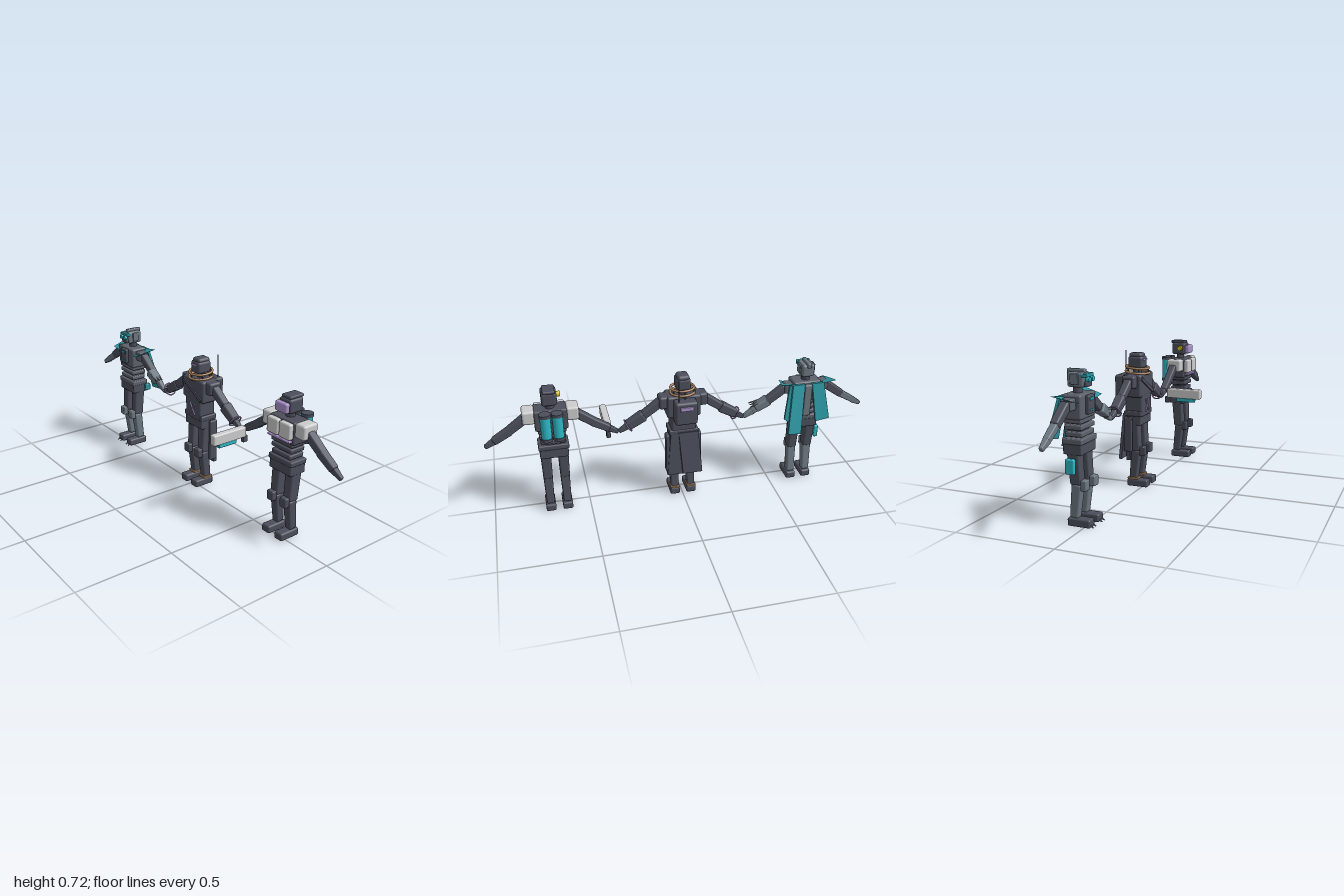
import * as THREE from 'three';
import { RoundedBoxGeometry } from 'three/addons/geometries/RoundedBoxGeometry.js';

const mat = (name, color, side = THREE.FrontSide) => {
  const m = new THREE.MeshStandardMaterial({ color, side });
  m.name = name;
  return m;
};

export function createModel() {
  const M = {
    dark: mat('charcoal', 0x4c4f5c),
    slate: mat('slate', 0x6c7882),
    grey: mat('iron grey', 0x5c616b),
    teal: mat('teal', 0x2a98a3, THREE.DoubleSide),
    cyan: mat('cyan', 0x2db9c7),
    white: mat('light grey', 0xcdcdcf),
    violet: mat('violet', 0xab93cc),
    tan: mat('tan', 0xb08660),
    yellow: mat('yellow', 0xd8c21c),
  };
  const model = new THREE.Group();
  const V = (x, y, z) => new THREE.Vector3(x, y, z);

  const add = (parent, name, geo, m, x = 0, y = 0, z = 0) => {
    const mesh = new THREE.Mesh(geo, m);
    mesh.name = name;
    mesh.position.set(x, y, z);
    parent.add(mesh);
    return mesh;
  };
  // Rounded block given by its ranges in x, y and z
  const block = (p, name, m, x0, x1, y0, y1, z0, z1, r = 0.006) => {
    const w = x1 - x0, h = y1 - y0, d = z1 - z0;
    const geo = new RoundedBoxGeometry(w, h, d, 2, Math.min(r, Math.min(w, h, d) * 0.45));
    return add(p, name, geo, m, (x0 + x1) / 2, (y0 + y1) / 2, (z0 + z1) / 2);
  };
  // Tapered rounded bar from a to b
  const bar = (p, name, m, a, b, w, d, taper = 1) => {
    const dir = b.clone().sub(a), len = dir.length();
    const geo = new RoundedBoxGeometry(w, len, d, 2, Math.min(w, d) * 0.2);
    const pos = geo.attributes.position;
    for (let i = 0; i < pos.count; i++) {
      const k = 1 + (taper - 1) * (pos.getY(i) / len + 0.5);
      pos.setX(i, pos.getX(i) * k);
      pos.setZ(i, pos.getZ(i) * k);
    }
    const mesh = add(p, name, geo, m);
    mesh.position.copy(a).add(b).multiplyScalar(0.5);
    mesh.quaternion.setFromUnitVectors(V(0, 1, 0), dir.normalize());
    return mesh;
  };
  // Four-cornered slab: two top corners, two bottom corners, thickness t along z
  const slab = (p, name, m, a, b, c, d, t) => {
    const geo = new THREE.BoxGeometry(1, 1, 1);
    const pos = geo.attributes.position;
    for (let i = 0; i < pos.count; i++) {
      const u = pos.getX(i) + 0.5, v = 0.5 - pos.getY(i);
      const q = a.clone().lerp(b, u).lerp(d.clone().lerp(c, u), v);
      pos.setXYZ(i, q.x, q.y, q.z + pos.getZ(i) * t);
    }
    geo.computeVertexNormals();
    return add(p, name, geo, m);
  };
  const cyl = (p, name, m, r, h, x, y, z) =>
    add(p, name, new THREE.CylinderGeometry(r, r, h, 20), m, x, y, z);

  // Shared body: legs, pelvis, waist, arms and neck
  const figure = (name, x, c) => {
    const g = new THREE.Group();
    g.name = name;
    g.position.x = x;
    model.add(g);
    for (const s of [-1, 1]) {
      const lx = s * 0.044;
      block(g, 'foot', M.dark, lx - 0.026, lx + 0.026, 0.005, 0.045, -0.083, 0.032, 0.009);
      bar(g, 'shin', c.shin, V(lx, 0.045, -0.052), V(lx, 0.203, -0.035), 0.04, 0.042, 1.2);
      bar(g, 'thigh', M.dark, V(lx, 0.2, -0.038), V(lx, 0.367, -0.05), 0.048, 0.056, 1.12);
      block(g, 'kneePad', c.shin, lx - 0.021, lx + 0.021, 0.175, 0.225, -0.016, 0.013);
      bar(g, 'upperArm', M.dark, V(s * 0.11, 0.575, -0.052), V(s * 0.213, 0.5, -0.052), 0.046, 0.044, 0.9);
      bar(g, 'forearm', c.forearm, V(s * 0.2, 0.507, -0.052), V(s * 0.288, 0.453, -0.05),
        0.044 * c.cuff, 0.042 * c.cuff, 0.85);
      bar(g, 'hand', c.hand, V(s * 0.28, 0.456, -0.05), V(s * 0.333, 0.425, -0.05), 0.034, 0.03, 0.6);
    }
    block(g, 'pelvis', M.dark, -0.072, 0.072, 0.34, 0.392, -0.095, -0.002);
    block(g, 'belt', c.belt, -0.077, 0.077, 0.388, 0.415, -0.097, 0.002);
    cyl(g, 'neck', M.dark, 0.022, 0.06, 0, 0.63, -0.052);
    return g;
  };
  const waist = (g, m) => {
    block(g, 'waistCore', M.dark, -0.04, 0.04, 0.4, 0.52, -0.085, -0.02);
    [0.42, 0.452, 0.482].forEach((y, i) =>
      block(g, 'waistBand', m, -0.062 - i * 0.004, 0.062 + i * 0.004, y, y + 0.023, -0.09, -0.003));
  };

  // ---- Caped figure on the right hand side ----
  const a = figure('capedRobot', -0.668,
    { shin: M.slate, forearm: M.slate, hand: M.slate, belt: M.grey, cuff: 0.85 });
  waist(a, M.grey);
  block(a, 'chest', M.grey, -0.075, 0.075, 0.5, 0.612, -0.095, 0, 0.01);
  block(a, 'chestUnit', M.dark, -0.029, 0.029, 0.52, 0.605, -0.005, 0.018);
  block(a, 'chestLight', M.teal, -0.021, 0.021, 0.582, 0.595, 0.015, 0.02, 0.002);
  block(a, 'chestLight', M.teal, -0.021, 0.021, 0.535, 0.542, 0.015, 0.02, 0.002);
  block(a, 'spine', M.slate, -0.02, 0.02, 0.42, 0.6, -0.115, -0.09);
  block(a, 'head', M.slate, -0.034, 0.034, 0.637, 0.705, -0.09, -0.005, 0.012);
  block(a, 'crest', M.slate, -0.011, 0.011, 0.69, 0.718, -0.1, -0.01);
  block(a, 'mask', M.dark, -0.026, 0.026, 0.64, 0.665, -0.012, 0.008);
  block(a, 'brow', M.teal, -0.036, 0.036, 0.684, 0.7, -0.02, 0.01, 0.004);
  for (const s of [-1, 1]) {
    const eye = cyl(a, 'eye', M.cyan, 0.012, 0.018, s * 0.017, 0.675, 0.01);
    eye.rotation.x = Math.PI / 2;
    block(a, 'earFin', M.slate, s * 0.037 - 0.005, s * 0.037 + 0.005, 0.65, 0.7, -0.07, -0.03, 0.003);
    block(a, 'shoulder', M.grey, s * 0.095 - 0.025, s * 0.095 + 0.025, 0.545, 0.6, -0.08, -0.022, 0.01);
    // Swept shoulder fin
    slab(a, 'shoulderFin', M.teal, V(s * 0.06, 0.6, -0.1), V(s * 0.148, 0.613, -0.105),
      V(s * 0.125, 0.588, 0.0), V(s * 0.07, 0.575, -0.01), 0.012).material = M.teal;
    // Toe claws
    for (const t of [-0.013, 0.013])
      bar(a, 'toeClaw', M.slate, V(s * 0.044 + t, 0.02, 0.025), V(s * 0.044 + t, 0.008, 0.044), 0.008, 0.008, 0.5);
  }
  // Cape panels, longer on the left
  slab(a, 'capeLeft', M.teal, V(0.02, 0.605, -0.1), V(0.085, 0.605, -0.1),
    V(0.118, 0.352, -0.165), V(0.045, 0.345, -0.16), 0.014);
  slab(a, 'capeRight', M.teal, V(-0.085, 0.605, -0.1), V(-0.02, 0.605, -0.1),
    V(-0.04, 0.4, -0.14), V(-0.113, 0.415, -0.145), 0.014);
  slab(a, 'capeSide', M.teal, V(0.075, 0.6, -0.09), V(0.095, 0.6, -0.08),
    V(0.128, 0.42, -0.12), V(0.1, 0.4, -0.13), 0.012);
  block(a, 'holster', M.cyan, -0.095, -0.072, 0.255, 0.325, -0.075, -0.03);
  block(a, 'hipPouch', M.teal, 0.07, 0.09, 0.35, 0.39, -0.11, -0.075);
  // Clawed gauntlet on the left arm
  bar(a, 'gauntlet', M.slate, V(0.195, 0.508, -0.045), V(0.27, 0.465, -0.045), 0.05, 0.055, 0.85);
  for (const t of [-0.02, 0, 0.02])
    bar(a, 'gauntletClaw', M.slate, V(0.225, 0.503, -0.045 + t), V(0.295, 0.482, -0.035 + t), 0.012, 0.01, 0.4);

  // ---- Coated figure in the middle ----
  const b = figure('coatedRobot', -0.003,
    { shin: M.dark, forearm: M.dark, hand: M.dark, belt: M.dark, cuff: 1.25 });
  block(b, 'chest', M.dark, -0.088, 0.088, 0.49, 0.61, -0.1, 0.005, 0.012);
  block(b, 'abdomen', M.dark, -0.064, 0.064, 0.385, 0.51, -0.094, 0.004, 0.01);
  bar(b, 'chestStrap', M.dark, V(-0.075, 0.59, 0.006), V(0.075, 0.505, 0.006), 0.02, 0.012);
  for (const s of [-1, 1]) {
    block(b, 'shoulder', M.dark, s * 0.098 - 0.028, s * 0.098 + 0.028, 0.54, 0.608, -0.088, -0.015, 0.012);
    bar(b, 'crossStripe', M.violet, V(-s * 0.022, 0.41, 0.006), V(s * 0.022, 0.475, 0.006), 0.007, 0.009);
    const ring = add(b, 'wristRing', new THREE.TorusGeometry(0.033, 0.004, 8, 24), M.violet, s * 0.285, 0.453, -0.05);
    ring.quaternion.setFromUnitVectors(V(0, 0, 1), V(s * 0.85, -0.52, 0).normalize());
    block(b, 'ankleCuff', M.tan, s * 0.044 - 0.025, s * 0.044 + 0.025, 0.043, 0.054, -0.08, -0.022, 0.003);
    block(b, 'coatSide', M.dark, s * 0.084 - 0.01, s * 0.084 + 0.01, s > 0 ? 0.16 : 0.2, 0.385, -0.09, -0.045);
  }
  block(b, 'head', M.dark, -0.037, 0.037, 0.635, 0.7, -0.09, -0.008, 0.014);
  block(b, 'hood', M.dark, -0.031, 0.031, 0.685, 0.716, -0.088, -0.015, 0.014);
  block(b, 'visor', M.violet, -0.025, 0.025, 0.677, 0.685, -0.012, -0.004, 0.002);
  // Collar rings held on posts
  [[0.64, 0.06], [0.615, 0.062]].forEach(([y, r]) => {
    const ring = add(b, 'collarRing', new THREE.TorusGeometry(r, 0.0065, 8, 32), M.tan, 0, y, -0.05);
    ring.rotation.x = Math.PI / 2 + 0.08;
  });
  for (let i = 0; i < 6; i++) {
    const t = (i + 0.5) * Math.PI / 3;
    cyl(b, 'collarPost', M.dark, 0.004, 0.04, Math.cos(t) * 0.06, 0.62, -0.05 + Math.sin(t) * 0.06);
  }
  block(b, 'backpack', M.dark, -0.058, 0.058, 0.475, 0.6, -0.157, -0.09, 0.012);
  block(b, 'backpackLabel', M.violet, -0.035, 0.035, 0.558, 0.58, -0.164, -0.155, 0.003);
  cyl(b, 'antenna', M.dark, 0.0025, 0.14, 0.037, 0.651, -0.133);
  // Long coat tails
  slab(b, 'coatTail', M.dark, V(-0.07, 0.4, -0.085), V(0.07, 0.4, -0.085),
    V(0.088, 0.142, -0.082), V(-0.05, 0.142, -0.082), 0.022);
  slab(b, 'coatTailOver', M.dark, V(-0.075, 0.4, -0.094), V(0.03, 0.4, -0.094),
    V(0.01, 0.157, -0.11), V(-0.095, 0.157, -0.11), 0.016);

  // ---- Tank-carrying figure on the left hand side ----
  const c = figure('tankRobot', 0.666,
    { shin: M.dark, forearm: M.dark, hand: M.dark, belt: M.dark, cuff: 1 });
  waist(c, M.dark);
  block(c, 'chest', M.dark, -0.082, 0.082, 0.5, 0.612, -0.095, 0, 0.01);
  block(c, 'chestStripe', M.violet, -0.072, 0.072, 0.513, 0.525, -0.002, 0.02, 0.004);
  block(c, 'head', M.dark, -0.038, 0.038, 0.635, 0.705, -0.095, -0.012, 0.012);
  block(c, 'headCap', M.dark, -0.03, 0.03, 0.702, 0.718, -0.102, -0.018);
  block(c, 'facePlate', M.violet, -0.038, 0.038, 0.643, 0.692, -0.012, 0.015, 0.009);
  cyl(c, 'headLamp', M.yellow, 0.014, 0.02, -0.047, 0.673, -0.04).rotation.z = Math.PI / 2;
  for (const s of [-1, 1]) {
    block(c, 'chestPlate', M.white, s * 0.04 - 0.036, s * 0.04 + 0.036, 0.53, 0.608, -0.005, 0.025, 0.009);
    block(c, 'shoulder', M.white, s * 0.108 - 0.031, s * 0.108 + 0.031, 0.542, 0.614, -0.092, -0.004, 0.012);
    cyl(c, 'tank', M.cyan, 0.026, 0.13, s * 0.03, 0.542, -0.131);
    for (const y of [0.479, 0.609]) cyl(c, 'tankCap', M.dark, 0.029, 0.016, s * 0.03, y, -0.131);
  }
  block(c, 'tankMount', M.dark, -0.05, 0.05, 0.485, 0.6, -0.115, -0.09);
  // Long blaster in the right hand
  block(c, 'blaster', M.white, -0.302, -0.266, 0.415, 0.47, -0.025, 0.175, 0.008);
  block(c, 'blasterCell', M.cyan, -0.296, -0.272, 0.395, 0.418, 0.032, 0.14, 0.004);
  block(c, 'blasterGrip', M.dark, -0.295, -0.273, 0.385, 0.42, -0.04, -0.012, 0.004);

  return model;
}
